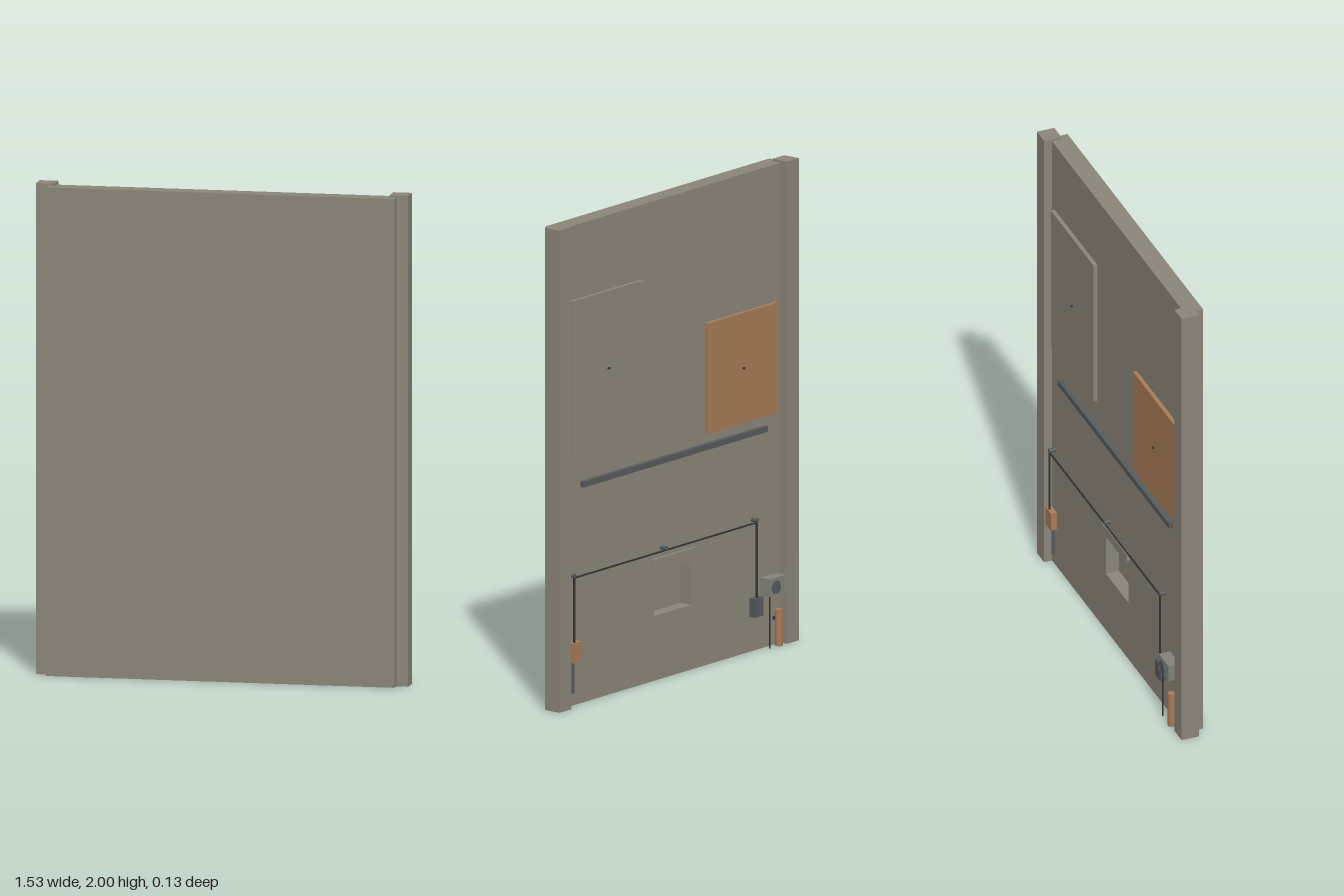
import * as THREE from 'three';

const mat = (name, color) => {
  const m = new THREE.MeshStandardMaterial({ color });
  m.name = name;
  return m;
};

export function createModel() {
  const stone = mat('stone grey', 0x8a8578);
  const copper = mat('copper brown', 0xa77a55);
  const slate = mat('slate', 0x555a5a);
  const dark = mat('dark cord', 0x2e3432);
  const steel = mat('dull steel', 0x82827a);

  const group = new THREE.Group();
  const BACK = -0.013; // rear face of the wall panel

  const add = (name, geo, material, x = 0, y = 0, z = 0) => {
    const mesh = new THREE.Mesh(geo, material);
    mesh.name = name;
    mesh.position.set(x, y, z);
    group.add(mesh);
    return mesh;
  };
  // box from its minimum and maximum corners
  const box = (name, material, x0, x1, y0, y1, z0, z1) =>
    add(name, new THREE.BoxGeometry(x1 - x0, y1 - y0, z1 - z0), material,
      (x0 + x1) / 2, (y0 + y1) / 2, (z0 + z1) / 2);
  // round bar between two points
  const rod = (name, material, a, b, r, sides = 12) => {
    const p = new THREE.Vector3(...a), q = new THREE.Vector3(...b);
    const dir = q.clone().sub(p);
    const mid = p.clone().add(q).multiplyScalar(0.5);
    const mesh = add(name, new THREE.CylinderGeometry(r, r, dir.length(), sides), material, mid.x, mid.y, mid.z);
    mesh.quaternion.setFromUnitVectors(new THREE.Vector3(0, 1, 0), dir.normalize());
    return mesh;
  };

  // wall panel: rear layer with a niche, closed by a front slab
  const rect = (target, x0, x1, y0, y1) => {
    target.moveTo(x0, y0);
    target.lineTo(x1, y0);
    target.lineTo(x1, y1);
    target.lineTo(x0, y1);
    target.closePath();
    return target;
  };
  const outline = rect(new THREE.Shape(), -0.717, 0.717, 0, 1.99);
  outline.holes.push(rect(new THREE.Path(), -0.119, 0.119, 0.268, 0.443));
  add('wallPanelBack', new THREE.ExtrudeGeometry(outline, { depth: 0.057, bevelEnabled: false }), stone, 0, 0, BACK);
  box('wallPanelFront', stone, -0.717, 0.717, 0, 1.99, 0.044, 0.066);

  // side posts
  for (const s of [-1, 1]) {
    add(s > 0 ? 'leftPost' : 'rightPost', new THREE.BoxGeometry(0.077, 2, 0.076), stone, s * 0.7275, 1, -0.01);
  }

  // two boards, each with a centre pin
  box('greyBoard', stone, 0.208, 0.661, 1.038, 1.682, -0.03, BACK);
  box('copperBoard', copper, -0.657, -0.207, 0.963, 1.421, -0.03, BACK);
  rod('greyBoardPin', dark, [0.432, 1.362, -0.02], [0.432, 1.362, -0.037], 0.005);
  rod('copperBoardPin', dark, [-0.432, 1.192, -0.02], [-0.432, 1.192, -0.037], 0.005);

  // long rail and the lintel over the niche
  box('rail', slate, -0.59, 0.59, 0.897, 0.921, -0.031, BACK);
  box('lintel', stone, -0.134, 0.134, 0.478, 0.507, -0.027, BACK);

  // cord over three pegs, with a weight at each end
  for (const x of [0.658, 0.072, -0.51]) {
    rod('cordPeg', slate, [x, 0.545, BACK], [x, 0.545, -0.041], 0.009);
  }
  rod('cordAcross', dark, [-0.51, 0.537, -0.037], [0.658, 0.537, -0.037], 0.004, 8);
  rod('leftCord', dark, [0.658, 0.537, -0.037], [0.658, 0.26, -0.037], 0.005, 8);
  rod('rightCord', dark, [-0.51, 0.537, -0.037], [-0.51, 0.22, -0.037], 0.005, 8);
  box('copperWeight', copper, 0.622, 0.677, 0.187, 0.268, -0.046, -0.02);
  box('slateWeight', slate, -0.54, -0.485, 0.147, 0.225, -0.048, -0.02);
  rod('guidePin', slate, [0.652, 0.19, -0.025], [0.652, 0.055, -0.025], 0.006);

  // winch housing, drum and hanging string
  box('winchHousing', steel, -0.662, -0.56, 0.222, 0.294, -0.063, BACK);
  rod('winchDrum', slate, [-0.6, 0.255, -0.05], [-0.6, 0.255, -0.0665], 0.028, 20);
  rod('hangingString', dark, [-0.574, 0.24, -0.052], [-0.574, 0.005, -0.052], 0.003, 6);

  // upright handle held off the wall by a peg
  rod('handle', copper, [-0.645, 0.001, -0.042], [-0.645, 0.152, -0.042], 0.016, 16);
  rod('handlePeg', dark, [-0.645, 0.112, BACK], [-0.645, 0.112, -0.04], 0.007);

  return group;
}
